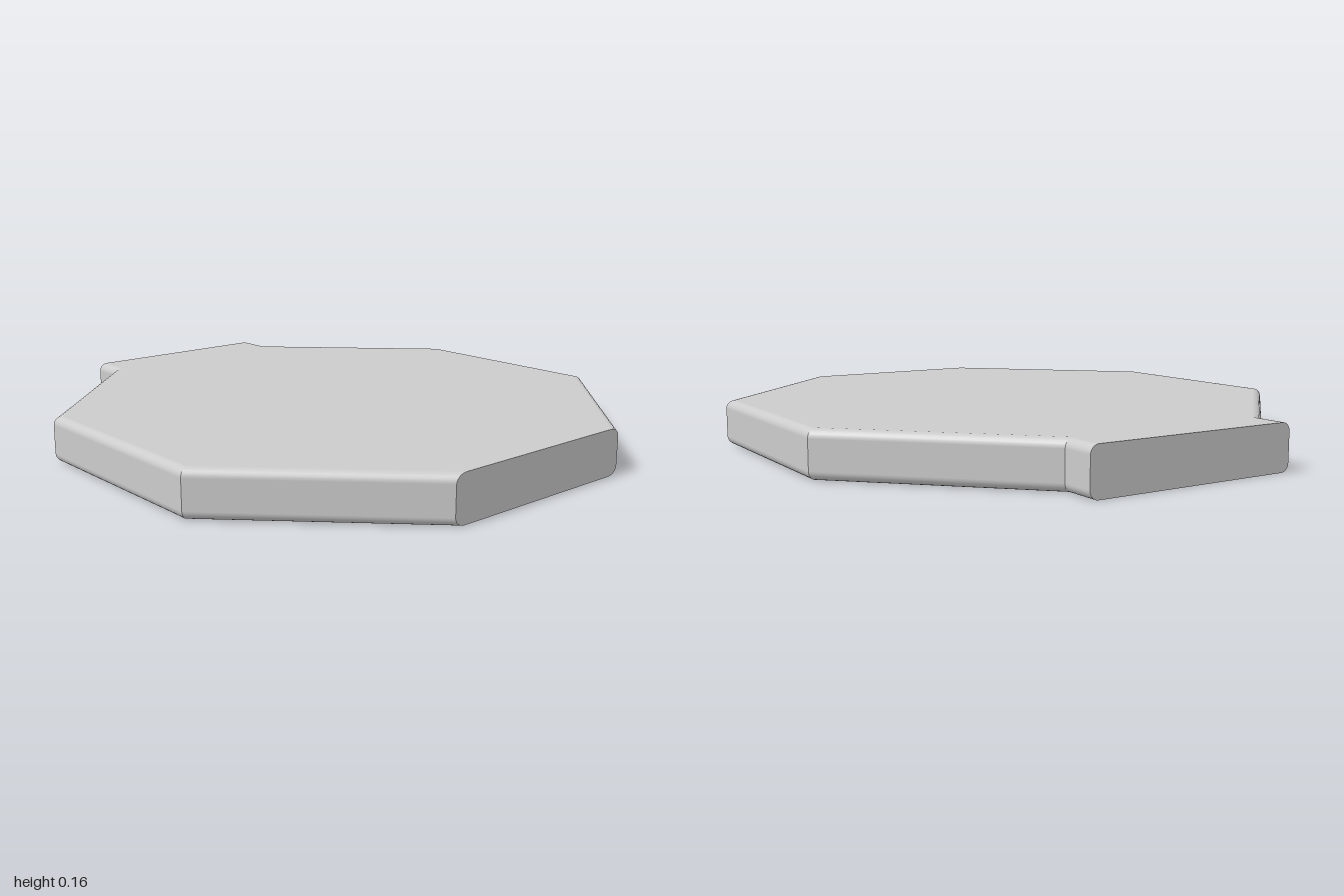
import * as THREE from 'three';

const HEIGHT = 0.16, RADIUS = 0.03, STEPS = 6;

// Plan outline with its side edges moved inwards by d; the front and back ends stay flat
function outline(d) {
  const k = d * Math.SQRT2;
  const half = [
    [0.387 - k, 1],
    [0.94 - d, 0.447 - k + d],
    [0.94 - d, -0.327 + k - d],
    [0.387 - d, -0.88 + k - d],
    [0.387 - d, -1],
  ];
  return [...half, ...half.map(([x, z]) => [-x, z]).reverse()];
}

export function createModel() {
  const positions = [], normals = [];
  const quad = (points, norms) => {
    for (const i of [0, 1, 2, 0, 2, 3]) {
      positions.push(...points[i]);
      normals.push(...norms[i]);
    }
  };

  // Levels from the bottom fillet up to the top fillet
  const levels = [];
  for (const base of [RADIUS, HEIGHT - RADIUS]) {
    const start = base === RADIUS ? -Math.PI / 2 : 0;
    for (let i = 0; i <= STEPS; i++) {
      const a = start + (i / STEPS) * Math.PI / 2;
      const y = base + RADIUS * Math.sin(a);
      const ring = outline(RADIUS * (1 - Math.cos(a))).map(([x, z]) => [x, y, z]);
      levels.push({ a, ring });
    }
  }

  // Rim: filleted sides, sharp corners and flat ends
  const count = levels[0].ring.length;
  for (let l = 0; l < levels.length - 1; l++) {
    const lo = levels[l], hi = levels[l + 1];
    for (let j = 0; j < count; j++) {
      const n = (j + 1) % count;
      const dx = lo.ring[n][0] - lo.ring[j][0], dz = lo.ring[n][2] - lo.ring[j][2];
      const len = Math.hypot(dx, dz);
      const flatEnd = j === 4 || j === 9;
      const normal = ({ a }) => {
        const c = flatEnd ? 1 : Math.cos(a);
        return [-dz / len * c, flatEnd ? 0 : Math.sin(a), dx / len * c];
      };
      const nl = normal(lo), nh = normal(hi);
      quad([lo.ring[j], lo.ring[n], hi.ring[n], hi.ring[j]], [nl, nl, nh, nh]);
    }
  }

  // Flat top and underside, as strips from side to side
  const top = levels[levels.length - 1].ring, bottom = levels[0].ring;
  for (let i = 0; i < 4; i++) {
    const corners = [i, i + 1, count - 2 - i, count - 1 - i];
    quad(corners.map(c => top[c]), Array(4).fill([0, 1, 0]));
    quad(corners.reverse().map(c => bottom[c]), Array(4).fill([0, -1, 0]));
  }

  const geometry = new THREE.BufferGeometry();
  geometry.setAttribute('position', new THREE.Float32BufferAttribute(positions, 3));
  geometry.setAttribute('normal', new THREE.Float32BufferAttribute(normals, 3));

  const plate = new THREE.Mesh(geometry, new THREE.MeshStandardMaterial({ color: 0xcccccc }));
  plate.name = 'octagonalPlateWithTab';
  const group = new THREE.Group();
  group.name = 'plate';
  group.add(plate);
  return group;
}
